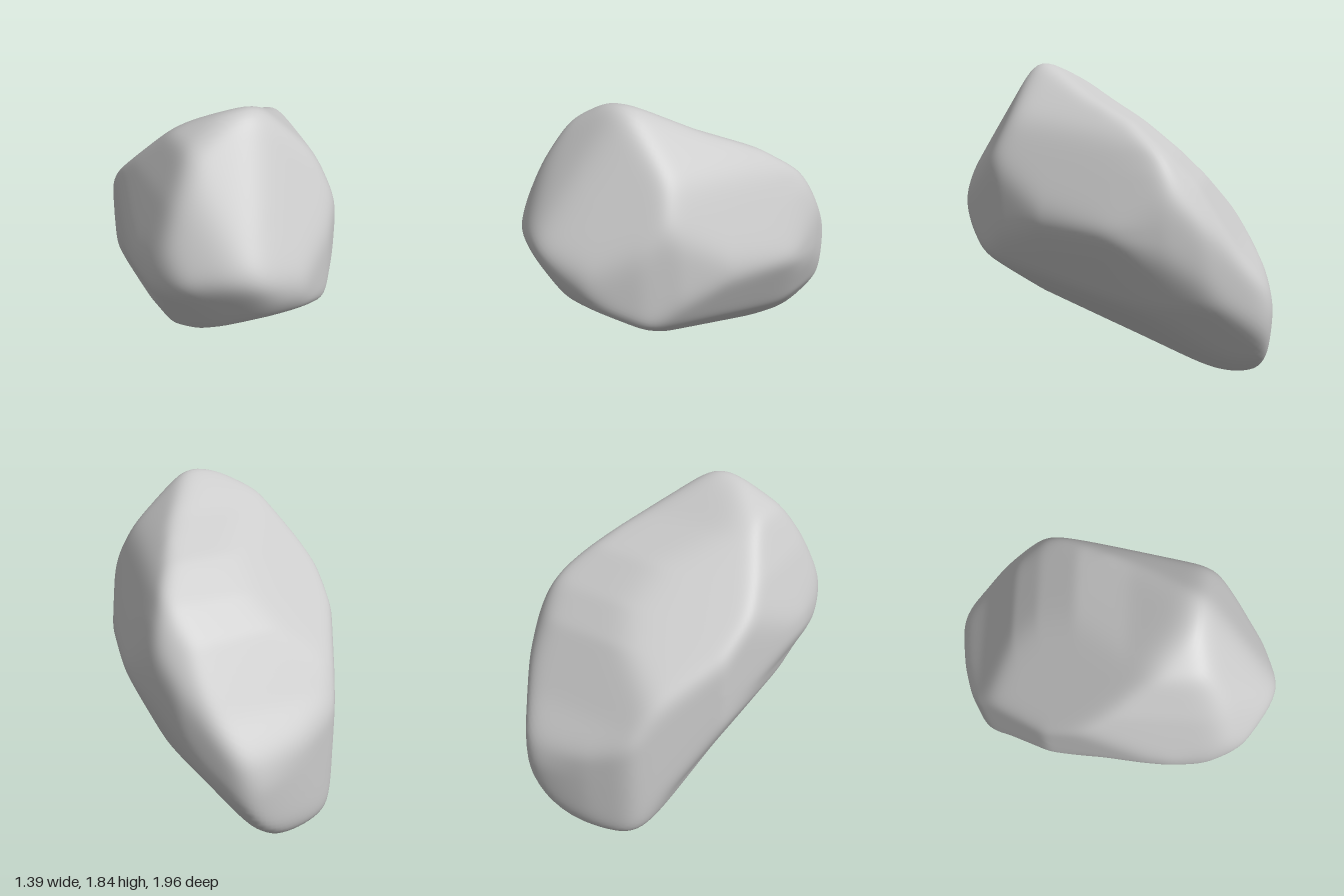
import * as THREE from 'three';
import { mergeVertices } from 'three/addons/utils/BufferGeometryUtils.js';

const MID = 0.94; // height of the rock's centre

// Outlines of the boulder along the three axes
const FRONT = [ // x, y
  [-0.04, 1.89], [0.01, 1.87], [0.16, 1.76], [0.35, 1.64], [0.55, 1.41], [0.62, 1.27], [0.7, 0.98],
  [0.7, 0.89], [0.55, 0.53], [0.42, 0.35], [0.3, 0.18], [0.13, 0.03], [0, 0], [-0.2, 0.04], [-0.29, 0.1],
  [-0.37, 0.32], [-0.58, 0.73], [-0.62, 0.86], [-0.7, 1.03], [-0.69, 1.12], [-0.55, 1.47],
  [-0.42, 1.71], [-0.2, 1.84], [-0.08, 1.89],
].map(([x, y]) => [x, y - MID]);
const SIDE = [ // z, y
  [1, 1.19], [0.96, 1.26], [0.53, 1.86], [0.47, 1.89], [0.4, 1.86], [0.1, 1.67], [-0.2, 1.52],
  [-0.42, 1.35], [-0.57, 1.19], [-0.8, 0.83], [-0.95, 0.64], [-1, 0.48], [-0.96, 0.17], [-0.9, 0.07],
  [-0.72, 0], [-0.6, 0.03], [-0.2, 0.22], [0.4, 0.49], [0.85, 0.83], [0.92, 0.94], [1, 1.13],
].map(([z, y]) => [z, y - MID]);
const TOP = [ // x, z
  [0.3, -1], [0.36, -0.99], [0.42, -0.93], [0.6, -0.63], [0.66, -0.43], [0.7, -0.17], [0.7, -0.1],
  [0.57, 0.3], [0.43, 0.57], [0.3, 0.73], [0.05, 0.92], [-0.1, 0.96], [-0.24, 1], [-0.4, 0.94],
  [-0.58, 0.81], [-0.67, 0.57], [-0.7, 0.35], [-0.68, 0.2], [-0.56, -0.36], [-0.27, -0.82],
  [-0.2, -0.86], [0, -0.93],
];

// Oblique facets: normal and distance from the centre
const FACETS = [
  [0.35, 0.47, 0.81, 0.82],      // broad front end
  [-0.19, 0.61, 0.77, 0.95],     // upper front end
  [-0.41, -0.48, 0.77, 0.775],   // hollow under the front tip
  [-0.6, 0.4, 0.69, 0.96],       // front right shoulder
  [0.91, 0.37, 0.19, 0.62],      // upper left flank
  [0.7, 0.7, 0.1, 0.7],          // left shoulder
  [0.85, -0.45, 0.28, 0.565],    // lower left flank
  [0.55, -0.78, 0.3, 0.555],     // left underside
  [-0.65, -0.6, 0.47, 0.68],     // lower right flank
  [0.6, 0.45, -0.66, 0.79],      // back left shoulder
  [-0.6, 0.45, -0.66, 0.68],     // back right shoulder
  [-0.29, 0.73, -0.615, 0.55],   // sloping back
];

// How far a 2D direction reaches relative to an outline (1 = on it)
function gauge(outline, u, v) {
  for (let i = 0; i < outline.length; i++) {
    const [ax, ay] = outline[i];
    const [bx, by] = outline[(i + 1) % outline.length];
    const ex = bx - ax, ey = by - ay;
    const det = u * ey - v * ex;
    if (Math.abs(det) < 1e-9) continue;
    const t = (ax * ey - ay * ex) / det;
    const s = (ax * v - ay * u) / det;
    if (t > 0 && s >= -1e-6 && s <= 1 + 1e-6) return 1 / t;
  }
  return 0;
}

// Rounded intersection of the outlines and facets along a direction
function radius(d) {
  const P = 40;
  const SWELL = 1.017; // makes up for the rounding of the edges
  const limits = [gauge(FRONT, d.x, d.y), gauge(SIDE, d.z, d.y), gauge(TOP, d.x, d.z)];
  for (const [x, y, z, h] of FACETS) limits.push(Math.max(0, (x * d.x + y * d.y + z * d.z) / h));
  return SWELL * Math.pow(limits.reduce((sum, g) => sum + Math.pow(g, P), 0), -1 / P);
}

// Relax each vertex toward its neighbours to wear down the edges
function relax(geometry, passes) {
  const pos = geometry.attributes.position;
  const index = geometry.index.array;
  for (let k = 0; k < passes; k++) {
    const sum = new Float32Array(pos.count * 3);
    const count = new Float32Array(pos.count);
    for (let i = 0; i < index.length; i++) {
      const a = index[i];
      const b = index[i % 3 === 2 ? i - 2 : i + 1];
      sum[a * 3] += pos.getX(b);
      sum[a * 3 + 1] += pos.getY(b);
      sum[a * 3 + 2] += pos.getZ(b);
      count[a]++;
    }
    for (let i = 0; i < pos.count; i++) {
      const mix = (p, c) => (p + sum[i * 3 + c] / count[i]) / 2;
      pos.setXYZ(i, mix(pos.getX(i), 0), mix(pos.getY(i), 1), mix(pos.getZ(i), 2));
    }
  }
}

export function createModel() {
  const group = new THREE.Group();
  group.name = 'rock';

  let geometry = new THREE.IcosahedronGeometry(1, 40);
  geometry.deleteAttribute('normal');
  geometry.deleteAttribute('uv');
  geometry = mergeVertices(geometry, 1e-4);

  const pos = geometry.attributes.position;
  const d = new THREE.Vector3();
  for (let i = 0; i < pos.count; i++) {
    d.fromBufferAttribute(pos, i).normalize();
    d.multiplyScalar(radius(d));
    pos.setXYZ(i, d.x, d.y, d.z);
  }
  relax(geometry, 7);

  // Stand on the ground
  geometry.center();
  geometry.translate(0, -geometry.boundingBox.min.y, 0);
  geometry.computeBoundingBox();
  geometry.translate(0, -geometry.boundingBox.min.y, 0);
  geometry.computeVertexNormals();

  const boulder = new THREE.Mesh(geometry, new THREE.MeshStandardMaterial({ color: 0xcccccc }));
  boulder.name = 'boulder';
  group.add(boulder);
  return group;
}
